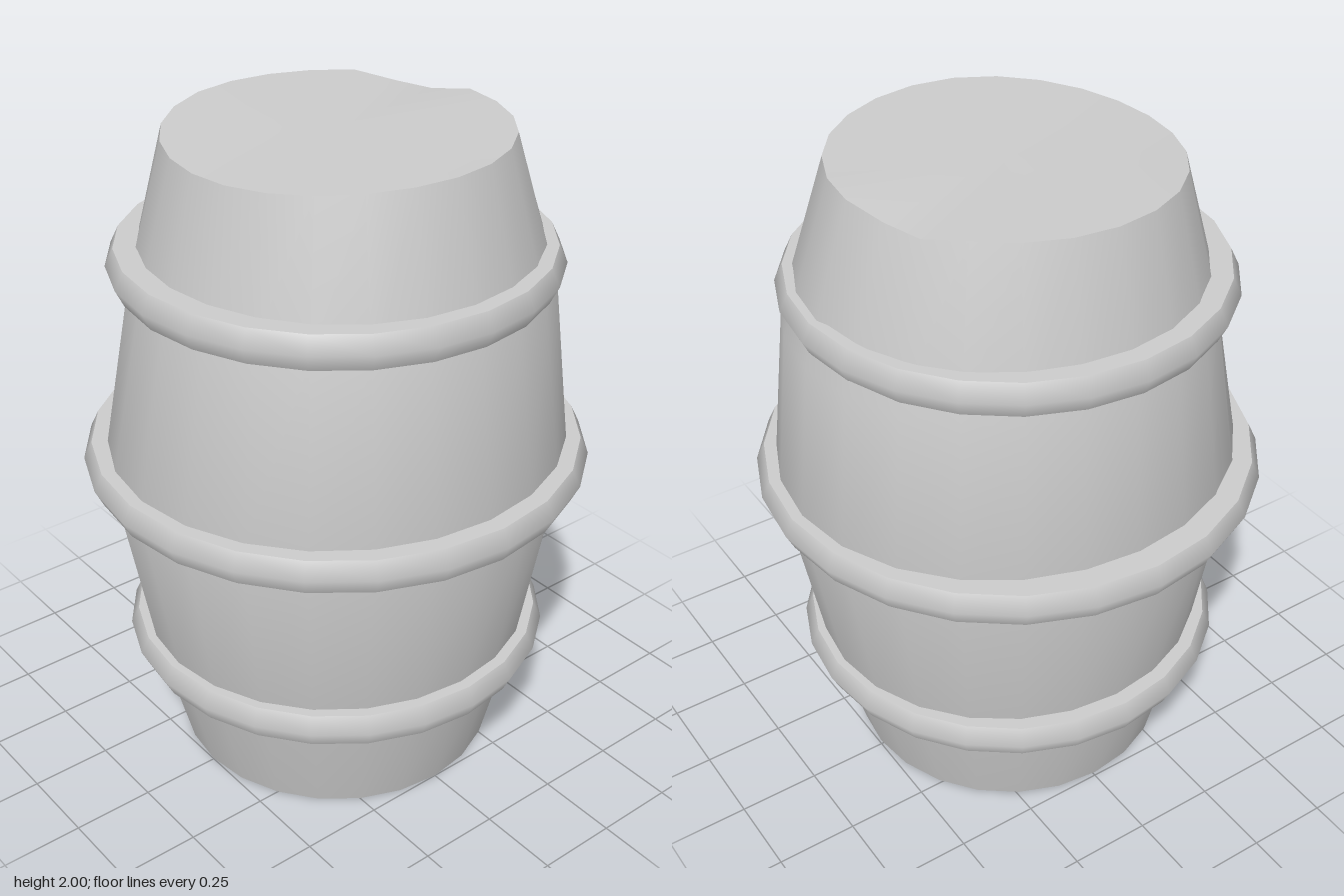
import * as THREE from 'three';
import { toCreasedNormals } from 'three/addons/utils/BufferGeometryUtils.js';

const SIDES = 24;

// Each row: radii and heights toward front, left (+x), back, right (-x)
const ROWS = [
  { r: [0.5, 0.5, 0.5, 0.5], y: [0.002, 0, 0.015, 0.015] },
  { r: [0.6, 0.59, 0.6, 0.58], y: [0.39, 0.39, 0.39, 0.39] },
  { r: [0.71, 0.69, 0.71, 0.665], y: [1, 1, 1, 1] },
  { r: [0.587, 0.615, 0.655, 0.61], y: [1.6, 1.56, 1.54, 1.53] },
  { r: [0.48, 0.5, 0.5, 0.5], y: [1.975, 2, 2, 1.997] },
];

// Smooth periodic blend between the four directions
function around(keys, i) {
  const t = (i / SIDES) * 4;
  const k = Math.floor(t);
  const s = 0.5 - 0.5 * Math.cos((t - k) * Math.PI);
  return keys[k % 4] * (1 - s) + keys[(k + 1) % 4] * s;
}

function rowPoint(j, i) {
  const a = (i / SIDES) * Math.PI * 2;
  let r = around(ROWS[j].r, i);
  let y = around(ROWS[j].y, i);
  // small worn notch in the back of the top rim
  if (j === ROWS.length - 1 && (i === 13 || i === 14)) {
    r -= i === 13 ? 0.022 : 0.006;
    y -= 0.022;
  }
  return [r * Math.sin(a), y, r * Math.cos(a)];
}

function geometryFrom(positions, index) {
  const g = new THREE.BufferGeometry();
  g.setAttribute('position', new THREE.Float32BufferAttribute(positions, 3));
  g.setIndex(index);
  g.computeVertexNormals();
  return g;
}

// Uneven bulging wall
function wallGeometry() {
  const pos = [], index = [];
  for (let j = 0; j < ROWS.length; j++) {
    for (let i = 0; i < SIDES; i++) {
      pos.push(...rowPoint(j, i));
      if (j === ROWS.length - 1) continue;
      const n = (i + 1) % SIDES;
      const a = j * SIDES + i, b = j * SIDES + n;
      index.push(a, b, b + SIDES, a, b + SIDES, a + SIDES);
    }
  }
  return geometryFrom(pos, index);
}

// Lid or base as a fan
function capGeometry(j, up) {
  const pos = [0, up ? 1.99 : 0.008, 0], index = [];
  for (let i = 0; i < SIDES; i++) {
    pos.push(...rowPoint(j, i));
    const a = i + 1, b = ((i + 1) % SIDES) + 1;
    index.push(0, up ? a : b, up ? b : a);
  }
  return geometryFrom(pos, index);
}

// Hoop with flat top and bottom and a bevelled outer edge
function hoopGeometry(y, outer, inner) {
  const h = 0.052, edge = outer - 0.025;
  const profile = [[inner, y - h], [edge, y - h], [outer, y], [edge, y + h], [inner, y + h]]
    .map(([r, v]) => new THREE.Vector2(r, v));
  return toCreasedNormals(new THREE.LatheGeometry(profile, SIDES), 1.0);
}

export function createModel() {
  const group = new THREE.Group();
  group.name = 'barrel';
  const grey = new THREE.MeshStandardMaterial({ color: 0xcccccc });
  grey.name = 'light grey';

  const add = (name, geometry) => {
    const mesh = new THREE.Mesh(geometry, grey);
    mesh.name = name;
    group.add(mesh);
  };

  add('barrelWall', wallGeometry());
  add('lid', capGeometry(ROWS.length - 1, true));
  add('base', capGeometry(0, false));
  add('lowerHoop', hoopGeometry(0.387, 0.658, 0.54));
  add('middleHoop', hoopGeometry(1.003, 0.762, 0.62));
  add('upperHoop', hoopGeometry(1.622, 0.658, 0.53));
  return group;
}
